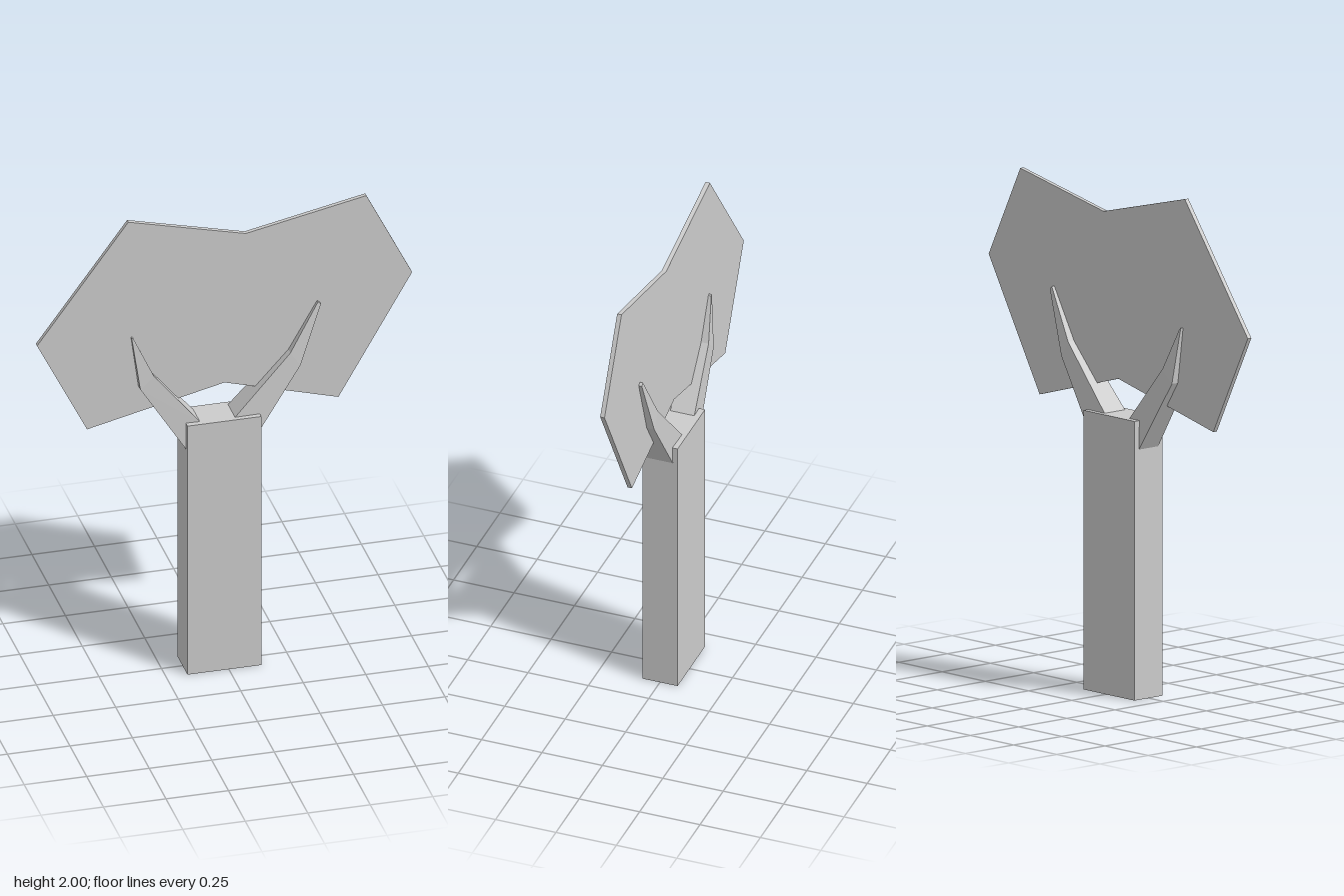
import * as THREE from 'three';

const material = new THREE.MeshStandardMaterial({ color: 0xcccccc, flatShading: true, side: THREE.DoubleSide });

function addMesh(group, name, geometry) {
  const mesh = new THREE.Mesh(geometry, material);
  mesh.name = name;
  group.add(mesh);
  return mesh;
}

// Four-sided tapering limb. Each section: [innerX, innerY, outerX, outerY, halfDepth]
function limbGeometry(sections) {
  const positions = [];
  const index = [];
  for (const [ix, iy, ox, oy, d] of sections) {
    positions.push(ix, iy, d, ox, oy, d, ox, oy, -d, ix, iy, -d);
  }
  const last = (sections.length - 1) * 4;
  for (let s = 0; s < last; s += 4) {
    for (let i = 0; i < 4; i++) {
      const j = (i + 1) % 4;
      index.push(s + i, s + j, s + 4 + j, s + i, s + 4 + j, s + 4 + i);
    }
  }
  index.push(last, last + 1, last + 2, last, last + 2, last + 3);
  const geometry = new THREE.BufferGeometry();
  geometry.setAttribute('position', new THREE.Float32BufferAttribute(positions, 3));
  // Mirrored limbs run the other way round, so turn their faces outward
  if (sections[0][2] < 0) index.reverse();
  geometry.setIndex(index);
  const flat = geometry.toNonIndexed();
  flat.computeVertexNormals();
  return flat;
}

export function createModel() {
  const group = new THREE.Group();
  group.name = 'tree';

  // Trunk: rectangular post, open underneath
  const trunk = new THREE.BoxGeometry(0.295, 1.1, 0.146);
  const faces = Array.from(trunk.index.array);
  faces.splice(18, 6); // bottom face
  trunk.setIndex(faces);
  trunk.clearGroups();
  trunk.translate(-0.018, 0.55, 0);
  addMesh(group, 'trunk', trunk);

  // Branches: bent limbs growing out of the top corners of the trunk
  addMesh(group, 'leftBranch', limbGeometry([
    [0.03, 1.1, 0.13, 1.03, 0.053],
    [0.255, 1.345, 0.295, 1.285, 0.04],
    [0.37, 1.545, 0.382, 1.535, 0.022],
  ]));
  addMesh(group, 'rightBranch', limbGeometry([
    [-0.11, 1.1, -0.165, 0.985, 0.05],
    [-0.29, 1.32, -0.345, 1.27, 0.04],
    [-0.368, 1.488, -0.375, 1.492, 0.021],
  ]));

  // Canopy: flat faceted foliage panel
  const outline = [
    [-0.75, 1.505], [-0.55, 1.107], [0, 1.235], [0.455, 1.105],
    [0.75, 1.615], [0.567, 1.98], [0.085, 1.882], [-0.385, 2],
  ].map(([x, y]) => new THREE.Vector2(x, y));
  const canopy = new THREE.ExtrudeGeometry(new THREE.Shape(outline), { depth: 0.018, bevelEnabled: false });
  canopy.translate(0, 0, -0.009);
  addMesh(group, 'canopy', canopy);

  return group;
}
